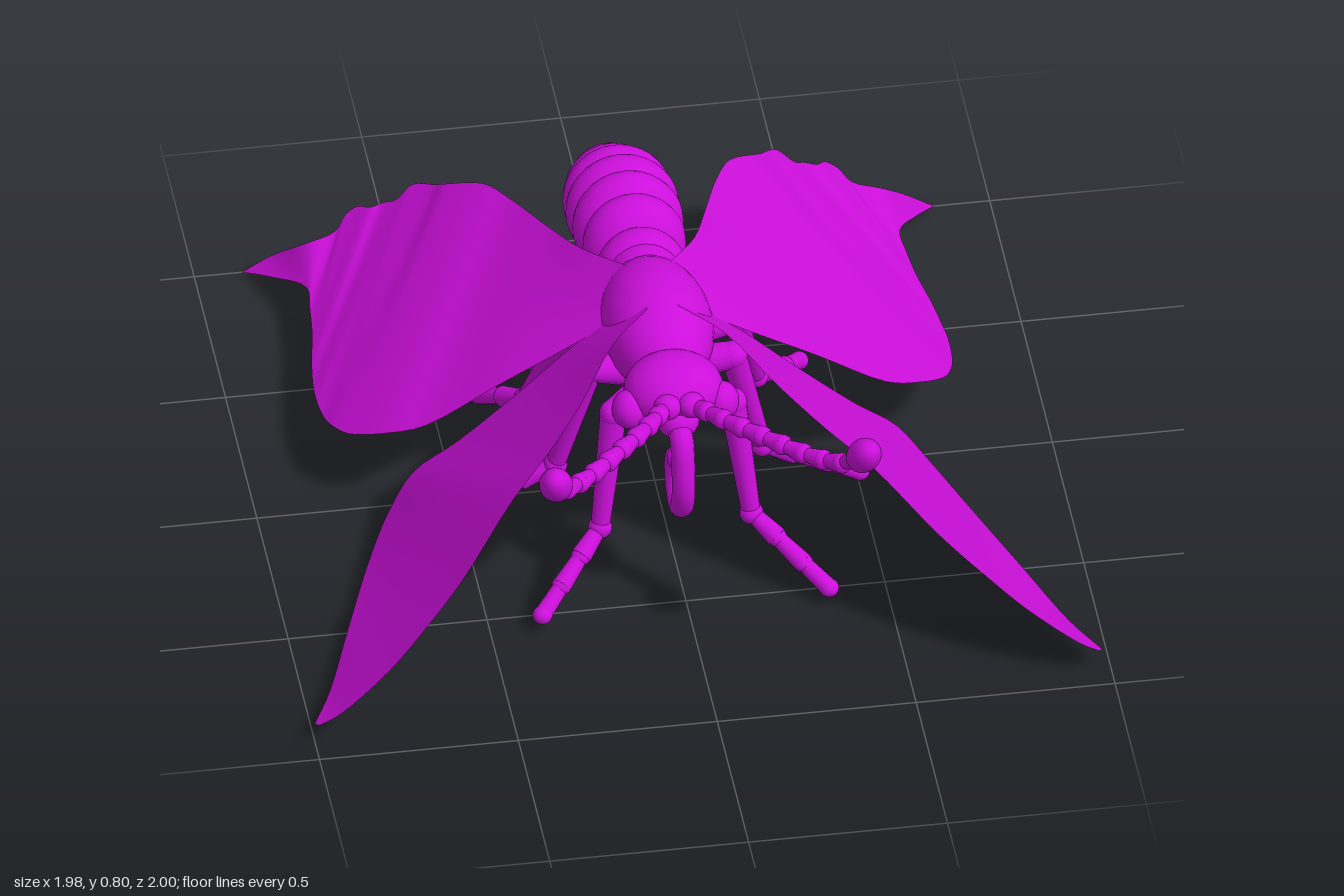
import * as THREE from 'three';

const UP = new THREE.Vector3(0, 1, 0);
const V = (p, s = 1) => new THREE.Vector3(p[0] * s, p[1], p[2]);

export function createModel() {
  const model = new THREE.Group();
  model.name = 'butterfly';
  const mat = new THREE.MeshStandardMaterial({ color: 0xcc0fdb });
  const wingMat = new THREE.MeshStandardMaterial({ color: 0xcc0fdb, side: THREE.DoubleSide });

  const group = (name) => {
    const g = new THREE.Group();
    g.name = name;
    model.add(g);
    return g;
  };
  const add = (parent, name, geo, material = mat) => {
    const mesh = new THREE.Mesh(geo, material);
    mesh.name = name;
    parent.add(mesh);
    return mesh;
  };
  const blob = (parent, name, pos, radii, tilt = 0) => {
    const m = add(parent, name, new THREE.SphereGeometry(1, 28, 18));
    m.position.set(...pos);
    m.scale.set(...radii);
    m.rotation.x = tilt;
    return m;
  };
  // Tapered rod from a to b
  const rod = (parent, name, a, b, ra, rb) => {
    const d = b.clone().sub(a);
    const m = add(parent, name, new THREE.CylinderGeometry(rb, ra, d.length(), 14));
    m.position.copy(a).addScaledVector(d, 0.5);
    m.quaternion.setFromUnitVectors(UP, d.normalize());
    return m;
  };

  // Thorax and head
  const body = group('body');
  blob(body, 'thorax', [0, 0.56, 0.1], [0.14, 0.135, 0.23]);
  blob(body, 'waist', [0, 0.54, -0.1], [0.1, 0.105, 0.14]);
  blob(body, 'head', [0, 0.56, 0.36], [0.125, 0.09, 0.11]);
  blob(body, 'muzzle', [0, 0.52, 0.43], [0.055, 0.05, 0.06]);

  // Abdomen: overlapping rings [y, z, radius]
  const rings = [
    [0.54, -0.15, 0.115], [0.545, -0.26, 0.13], [0.53, -0.36, 0.14], [0.51, -0.45, 0.143],
    [0.485, -0.53, 0.138], [0.455, -0.6, 0.122], [0.435, -0.66, 0.1],
  ];
  const abdomen = group('abdomen');
  rings.forEach(([y, z, r], i) =>
    blob(abdomen, 'abdomenRing' + (i + 1), [0, y, z], [r, r, 0.085], -0.25));

  // Coiled feeding tube
  const coil = [[0.5, 0.44], [0.5, 0.5], [0.43, 0.525], [0.35, 0.525], [0.285, 0.48], [0.31, 0.42], [0.38, 0.41], [0.41, 0.45]];
  const path = new THREE.CatmullRomCurve3(coil.map(([y, z]) => new THREE.Vector3(0, y, z)));
  add(body, 'proboscis', new THREE.TubeGeometry(path, 48, 0.03, 12));
  blob(body, 'proboscisTip', [0, 0.41, 0.45], [0.03, 0.03, 0.03]);

  // Antenna centreline
  const antennaPath = [[0.03, 0.575, 0.45], [0.1, 0.605, 0.57], [0.19, 0.62, 0.68], [0.27, 0.63, 0.77], [0.34, 0.655, 0.85], [0.375, 0.7, 0.9]];

  // Legs: hip, knee, ankle, toe
  const legs = {
    front: [[0.06, 0.5, 0.28], [0.15, 0.5, 0.36], [0.19, 0.18, 0.4], [0.36, 0.045, 0.56]],
    middle: [[0.07, 0.48, 0.16], [0.18, 0.5, 0.17], [0.26, 0.18, 0.13], [0.51, 0.045, 0.1]],
    hind: [[0.06, 0.48, 0.04], [0.21, 0.48, 0], [0.29, 0.18, -0.15], [0.43, 0.045, -0.37]],
  };

  // Wing edges as [x, y, z] from root to tip; the surface spans between them
  const foreLead = [[0.04, 0.69, 0.2], [0.14, 0.67, 0.3], [0.25, 0.61, 0.46], [0.35, 0.55, 0.57], [0.45, 0.49, 0.66],
    [0.6, 0.36, 0.8], [0.7, 0.28, 0.87], [0.8, 0.2, 0.925], [0.93, 0.1, 0.955], [0.98, 0.06, 0.94]];
  const foreTrail = [[0.04, 0.65, 0.1], [0.2, 0.53, 0.1], [0.35, 0.39, 0.1], [0.5, 0.25, 0.09], [0.61, 0.15, 0.07],
    [0.68, 0.08, 0.13], [0.75, 0.045, 0.27], [0.84, 0.04, 0.52], [0.93, 0.04, 0.78], [0.99, 0.05, 0.92]];
  const hindInner = [[0.05, 0.66, -0.02], [0.14, 0.59, -0.2], [0.2, 0.52, -0.4], [0.26, 0.46, -0.6], [0.31, 0.43, -0.71],
    [0.39, 0.37, -0.8], [0.41, 0.34, -0.84], [0.46, 0.3, -0.9], [0.5, 0.27, -0.885], [0.53, 0.245, -0.91],
    [0.56, 0.235, -0.91], [0.59, 0.21, -0.95], [0.62, 0.19, -0.945], [0.65, 0.17, -0.91], [0.72, 0.15, -0.9],
    [0.8, 0.05, -0.99], [0.87, 0, -1]];
  const hindOuter = [[0.05, 0.64, 0.12], [0.2, 0.54, 0.11], [0.4, 0.42, 0.1], [0.58, 0.3, 0.08], [0.67, 0.25, 0.03],
    [0.75, 0.19, -0.06], [0.78, 0.16, -0.14], [0.79, 0.14, -0.2], [0.795, 0.125, -0.3], [0.79, 0.115, -0.38],
    [0.78, 0.115, -0.46], [0.77, 0.115, -0.52], [0.76, 0.115, -0.58], [0.75, 0.115, -0.68], [0.745, 0.12, -0.755],
    [0.81, 0.06, -0.89], [0.87, 0, -1]];

  const wing = (edgeA, edgeB, s) => {
    const a = new THREE.CatmullRomCurve3(edgeA.map((p) => V(p, s)));
    const b = new THREE.CatmullRomCurve3(edgeB.map((p) => V(p, s)));
    const n = (edgeA.length - 1) * 4, m = 8, pos = [], idx = [];
    for (let i = 0; i <= n; i++) {
      const pa = a.getPoint(i / n), pb = b.getPoint(i / n);
      for (let j = 0; j <= m; j++) {
        const p = pa.clone().lerp(pb, j / m);
        pos.push(p.x, p.y, p.z);
        if (i < n && j < m) {
          const k = i * (m + 1) + j, l = k + m + 1;
          if (s > 0) idx.push(k, l, k + 1, k + 1, l, l + 1);
          else idx.push(k, k + 1, l, k + 1, l + 1, l);
        }
      }
    }
    const g = new THREE.BufferGeometry();
    g.setAttribute('position', new THREE.Float32BufferAttribute(pos, 3));
    g.setIndex(idx);
    g.computeVertexNormals();
    return g;
  };

  for (const [side, s] of [['left', 1], ['right', -1]]) {
    add(model, side + 'ForeWing', wing(foreTrail, foreLead, s), wingMat);
    add(model, side + 'HindWing', wing(hindInner, hindOuter, s), wingMat);
    blob(body, side + 'Eye', [0.115 * s, 0.535, 0.395], [0.045, 0.05, 0.05]);

    // Segmented antenna, each bead flaring toward the tip
    const antenna = group(side + 'Antenna');
    const curve = new THREE.CatmullRomCurve3(antennaPath.map((p) => V(p, s)));
    const beads = 9;
    blob(antenna, 'antennaBase', [0.03 * s, 0.58, 0.46], [0.035, 0.032, 0.035]);
    for (let i = 0; i < beads; i++) {
      const end = curve.getPointAt((i + 1) / beads);
      rod(antenna, 'antennaSegment', curve.getPointAt(i / beads), end, 0.016, 0.026);
      blob(antenna, 'antennaJoint', end.toArray(), [0.026, 0.026, 0.026]);
    }
    const club = blob(antenna, 'antennaClub', [0.387 * s, 0.745, 0.945], [0.042, 0.07, 0.042]);
    club.quaternion.setFromUnitVectors(UP, new THREE.Vector3(0.15 * s, 0.7, 0.6).normalize());

    for (const [name, pts] of Object.entries(legs)) {
      const leg = group(side + name[0].toUpperCase() + name.slice(1) + 'Leg');
      const [hip, knee, ankle, toe] = pts.map((p) => V(p, s));
      rod(leg, 'thigh', hip, knee, 0.045, 0.035);
      blob(leg, 'knee', knee.toArray(), [0.036, 0.036, 0.036]);
      rod(leg, 'shin', knee, ankle, 0.034, 0.024);
      blob(leg, 'ankle', ankle.toArray(), [0.03, 0.03, 0.03]);
      // Foot of three flared segments
      for (let i = 0; i < 3; i++) {
        const end = ankle.clone().lerp(toe, (i + 1) / 3);
        rod(leg, 'footSegment', ankle.clone().lerp(toe, i / 3), end, 0.02, 0.027 - i * 0.002);
        blob(leg, 'footJoint', end.toArray(), [0.025, 0.023, 0.025]);
      }
    }
  }
  model.position.x = -0.01;
  return model;
}
